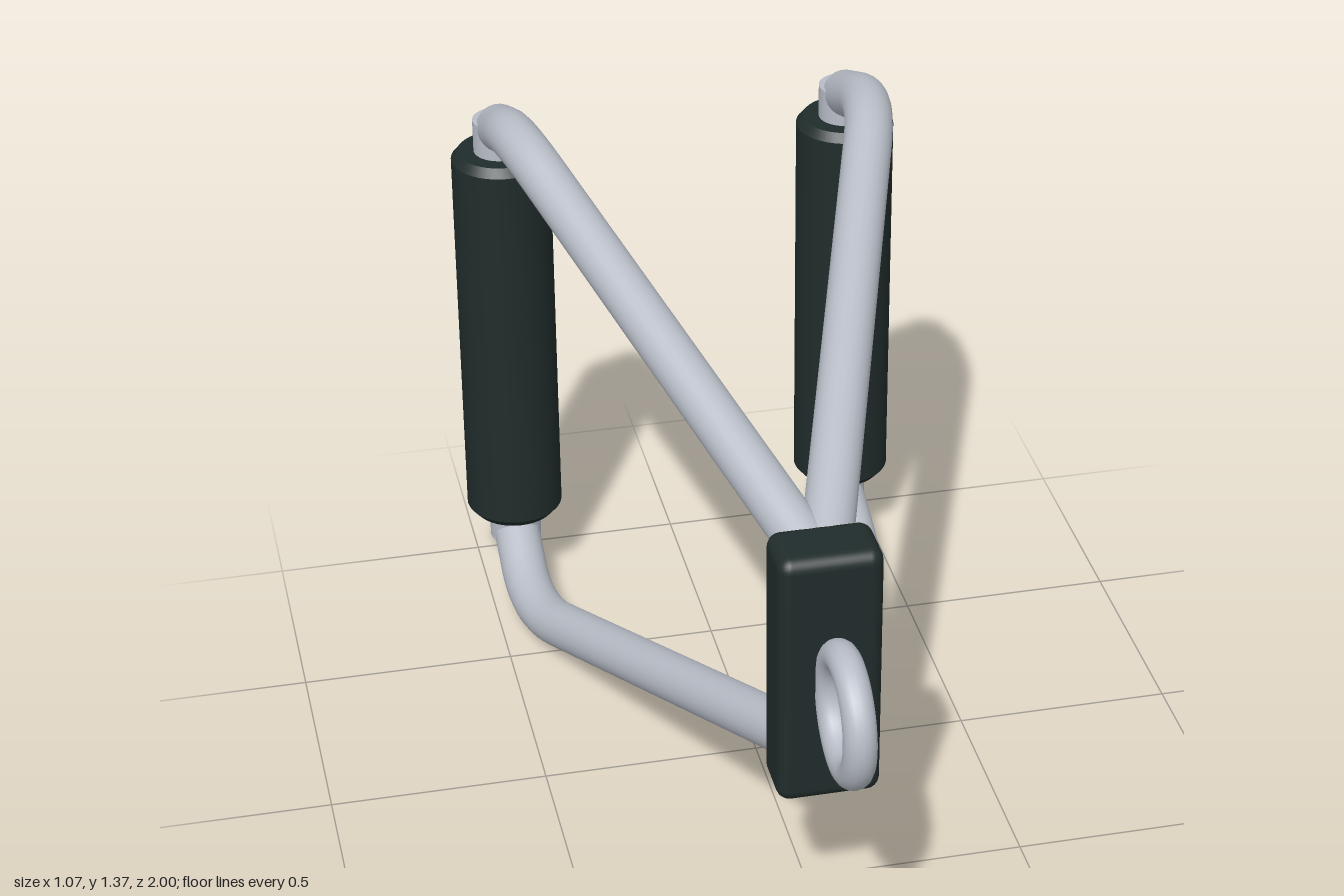
import * as THREE from 'three';
import { toCreasedNormals } from 'three/addons/utils/BufferGeometryUtils.js';
import { RoundedBoxGeometry } from 'three/addons/geometries/RoundedBoxGeometry.js';

const MID = 0.695;      // height of the horizontal mirror plane
const GRIP_X = 0.418, GRIP_Z = -0.883;
const TUBE_R = 0.056;

export function createModel() {
  const metal = new THREE.MeshStandardMaterial({ color: 0xb8bdc7 });
  metal.name = 'light grey metal';
  const rubber = new THREE.MeshStandardMaterial({ color: 0x202c2b });
  rubber.name = 'dark rubber';

  const root = new THREE.Group();
  root.name = 'cableHandle';
  const add = (parent, name, geo, mat, x = 0, y = 0, z = 0) => {
    const m = new THREE.Mesh(geo, mat);
    m.name = name;
    m.position.set(x, y, z);
    parent.add(m);
    return m;
  };

  // Connector block and the ring held in its front
  add(root, 'connectorBlock', new RoundedBoxGeometry(0.226, 0.61, 0.146, 3, 0.03), rubber, 0, MID, 0.649);
  add(root, 'ring', new THREE.TorusGeometry(0.123, 0.036, 16, 48), metal, 0, MID, 0.841).rotation.y = Math.PI / 2;

  // Grip profile with chamfered ends
  const h = 0.495;
  const gripProfile = [[0, -h], [0.1, -h], [0.117, -h + 0.02], [0.117, h - 0.02], [0.1, h], [0, h]]
    .map(([r, y]) => new THREE.Vector2(r, y));
  const gripGeo = toCreasedNormals(new THREE.LatheGeometry(gripProfile, 40), 0.4);
  const rodGeo = new THREE.CylinderGeometry(0.063, 0.063, 1.15, 32);

  for (const sx of [1, -1]) {
    const side = sx > 0 ? 'left' : 'right';
    add(root, side + 'Grip', gripGeo, rubber, sx * GRIP_X, MID, GRIP_Z);
    add(root, side + 'GripRod', rodGeo, metal, sx * GRIP_X, MID, GRIP_Z);

    // Bent arms from the block to both ends of the grip rod
    for (const sy of [1, -1]) {
      const arm = new THREE.Group();
      arm.name = side + (sy > 0 ? 'UpperArm' : 'LowerArm');
      root.add(arm);
      const p = (x, y, z) => new THREE.Vector3(sx * x, MID + sy * y, z);
      const start = p(0.012, 0.238, 0.605);
      const corner = p(0.42, 0.655, -0.635);
      const end = p(GRIP_X, 0.553, -0.88);
      const bendIn = corner.clone().lerp(start, 0.11);
      const bendOut = corner.clone().lerp(end, 0.52);
      const path = new THREE.CurvePath();
      path.add(new THREE.LineCurve3(start, bendIn));
      path.add(new THREE.QuadraticBezierCurve3(bendIn, corner, bendOut));
      path.add(new THREE.LineCurve3(bendOut, end));
      add(arm, 'armTube', new THREE.TubeGeometry(path, 64, TUBE_R, 24), metal);

      // Flat end caps
      for (const [at, from] of [[start, bendIn], [end, bendOut]]) {
        const cap = add(arm, 'armCap', new THREE.CircleGeometry(TUBE_R, 24), metal, at.x, at.y, at.z);
        const dir = at.clone().sub(from).normalize();
        cap.quaternion.setFromUnitVectors(new THREE.Vector3(0, 0, 1), dir);
      }
    }
  }
  return root;
}
